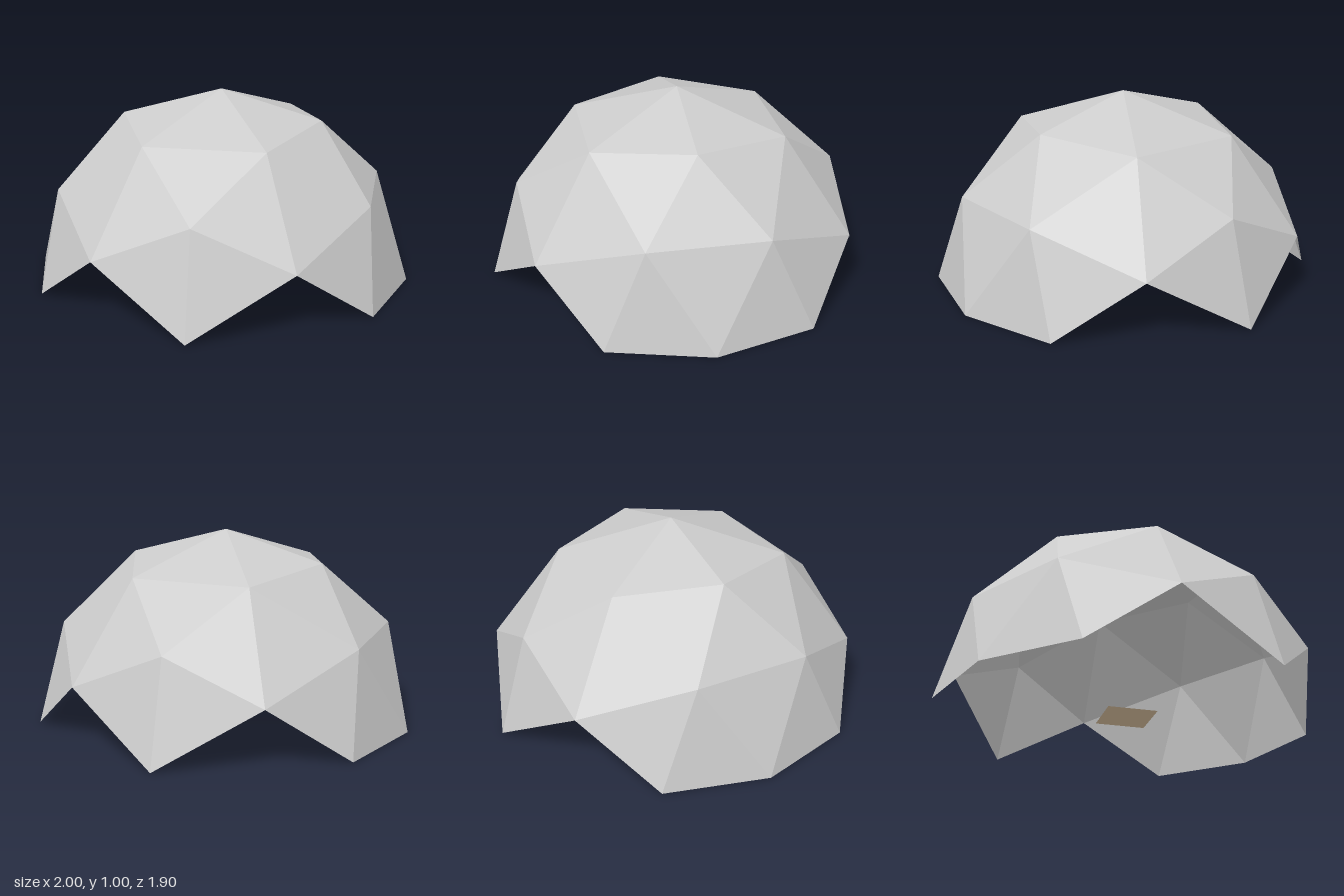
import * as THREE from 'three';

// Keep only the triangles lying wholly on or above the ground
function upperFaces(geometry) {
  const p = geometry.getAttribute('position');
  const kept = [];
  for (let i = 0; i < p.count; i += 3) {
    if ([0, 1, 2].some((k) => p.getY(i + k) < -0.001)) continue;
    for (let k = 0; k < 3; k++) kept.push(p.getX(i + k), p.getY(i + k), p.getZ(i + k));
  }
  const result = new THREE.BufferGeometry();
  result.setAttribute('position', new THREE.Float32BufferAttribute(kept, 3));
  result.computeVertexNormals();
  return result;
}

export function createModel() {
  const model = new THREE.Group();
  model.name = 'geodesicDome';

  const shellGrey = new THREE.MeshStandardMaterial({ color: 0xcccccc, flatShading: true, side: THREE.DoubleSide });
  shellGrey.name = 'shellGrey';
  const sandFloor = new THREE.MeshStandardMaterial({ color: 0xdcc3a0, side: THREE.DoubleSide });
  sandFloor.name = 'sandFloor';

  // Open two-frequency shell, turned so two ground corners sit on the x axis
  const sphere = new THREE.IcosahedronGeometry(1, 1);
  sphere.rotateY(Math.atan2(2, 1 + Math.sqrt(5)));
  const shell = new THREE.Mesh(upperFaces(sphere), shellGrey);
  shell.name = 'domeShell';
  model.add(shell);

  // Small square floor plate in the middle
  const floor = new THREE.Mesh(new THREE.PlaneGeometry(0.26, 0.26), sandFloor);
  floor.name = 'floorPlate';
  floor.rotation.x = -Math.PI / 2;
  model.add(floor);

  return model;
}
